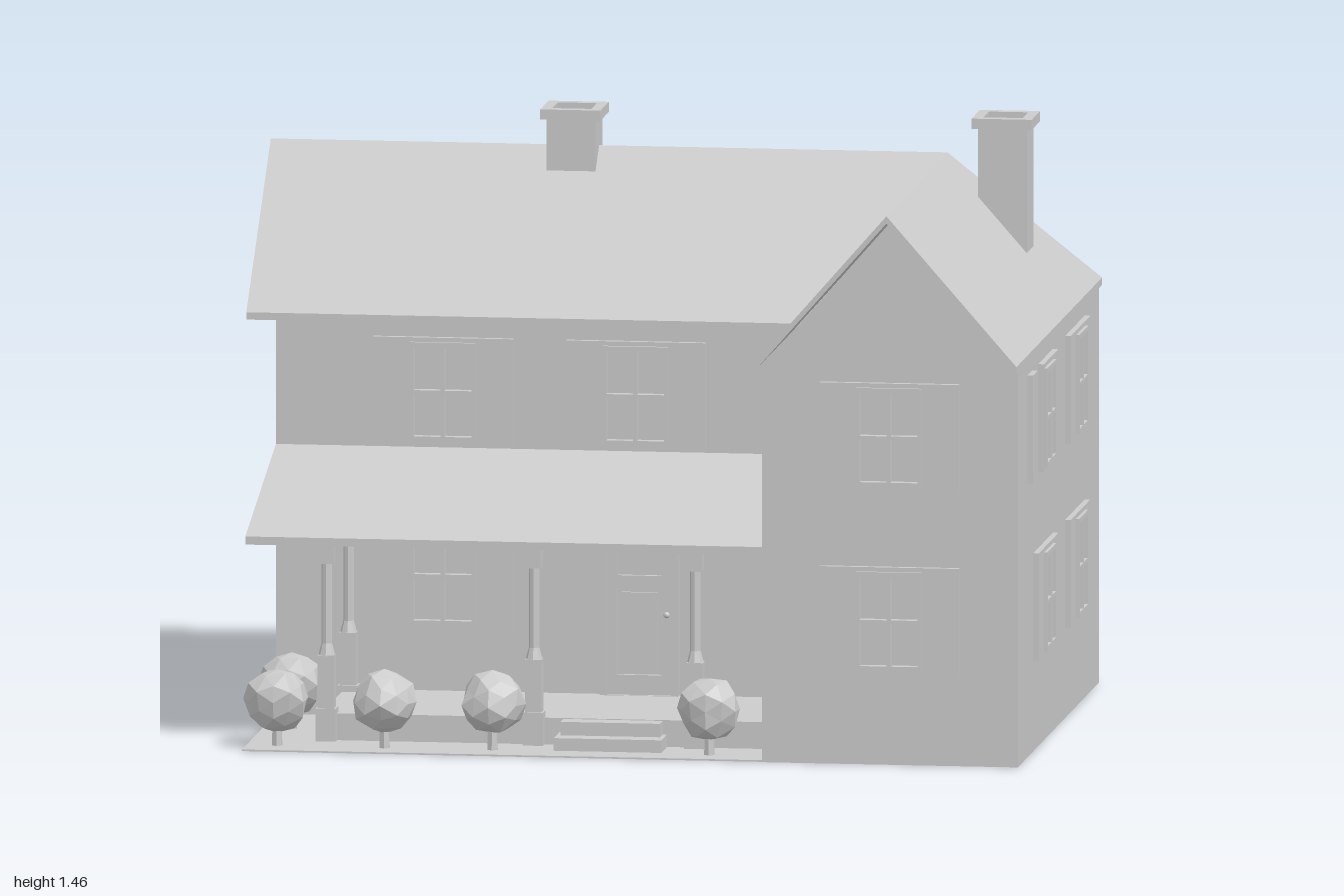
import * as THREE from 'three';

const mat = new THREE.MeshStandardMaterial({ color: 0xcccccc, flatShading: true });
const thin = new THREE.MeshStandardMaterial({ color: 0xcccccc, flatShading: true, side: THREE.DoubleSide });

function add(parent, name, geo, x = 0, y = 0, z = 0, m = mat) {
  const mesh = new THREE.Mesh(geo, m);
  mesh.name = name;
  mesh.position.set(x, y, z);
  parent.add(mesh);
  return mesh;
}

// box given by its minimum and maximum on each axis
function box(parent, name, x0, x1, y0, y1, z0, z1) {
  return add(parent, name, new THREE.BoxGeometry(x1 - x0, y1 - y0, z1 - z0),
    (x0 + x1) / 2, (y0 + y1) / 2, (z0 + z1) / 2);
}

const polygon = pts => new THREE.Shape(pts.map(p => new THREE.Vector2(...p)));
const rect = (x0, x1, y0, y1) => polygon([[x0, y0], [x1, y0], [x1, y1], [x0, y1]]);
const extrude = (shape, depth) => new THREE.ExtrudeGeometry(shape, { depth, bevelEnabled: false });
// profile drawn as (z, y), swept from x0 to x1
const sweepX = (pts, x0, x1) => extrude(polygon(pts), x1 - x0).rotateY(-Math.PI / 2).translate(x1, 0, 0);

// sloping slab: a convex outline, counter-clockwise from above, thickened downwards
function slab(parent, name, pts, t) {
  const top = pts.map(p => new THREE.Vector3(...p));
  const low = top.map(p => p.clone().setY(p.y - t));
  const tris = [];
  const n = top.length;
  for (let i = 1; i < n - 1; i++) {
    tris.push(top[0], top[i], top[i + 1], low[0], low[i + 1], low[i]);
  }
  for (let i = 0; i < n; i++) {
    const j = (i + 1) % n;
    tris.push(top[i], low[i], low[j], top[i], low[j], top[j]);
  }
  const geo = new THREE.BufferGeometry().setFromPoints(tris);
  geo.computeVertexNormals();
  add(parent, name, geo, 0, 0, 0, thin);
}

// window with four recessed panes between two shutters, facing +z
function makeWindow(leftEnd = -0.172) {
  const g = new THREE.Group();
  g.name = 'window';
  const hole = (shape, ...r) => shape.holes.push(rect(...r));
  const cells = [];
  for (const x of [-0.038, 0.038]) {
    for (const y of [-0.057, 0.057]) cells.push([x - 0.033, x + 0.033, y - 0.053, y + 0.053]);
  }
  const plate = rect(leftEnd, 0.172, -0.133, 0.133);
  const frame = rect(-0.08, 0.08, -0.122, 0.122);
  for (const c of cells) {
    hole(plate, ...c);
    hole(frame, ...c);
  }
  add(g, 'shutters', extrude(plate, 0.014));
  add(g, 'windowFrame', extrude(frame, 0.022));
  return g;
}

function makeChimney(x, z, bottom) {
  const g = new THREE.Group();
  g.name = 'chimney';
  const tube = (name, outer, y0, y1) => {
    const s = rect(-outer, outer, -outer, outer);
    s.holes.push(rect(-0.048, 0.048, -0.048, 0.048));
    add(g, name, extrude(s, y1 - y0).rotateX(-Math.PI / 2), 0, y0, 0);
  };
  tube('chimneyStack', 0.06, bottom, 1.435);
  tube('chimneyCap', 0.074, 1.432, 1.457);
  box(g, 'flueFloor', -0.05, 0.05, bottom, 1.39, -0.05, 0.05);
  g.position.set(x, 0, z);
  return g;
}

// faceted round bush on a short trunk
function makeBush(x, z, seed) {
  const g = new THREE.Group();
  g.name = 'bush';
  const geo = new THREE.IcosahedronGeometry(0.081, 1);
  const p = geo.attributes.position;
  const v = new THREE.Vector3();
  for (let i = 0; i < p.count; i++) {
    v.fromBufferAttribute(p, i);
    const w = Math.sin(Math.round(v.x * 1e3) * 1.3 + Math.round(v.y * 1e3) * 2.7 + Math.round(v.z * 1e3) * 4.1 + seed);
    v.multiplyScalar(0.96 + 0.07 * w);
    p.setXYZ(i, v.x, v.y, v.z);
  }
  geo.computeVertexNormals();
  add(g, 'foliage', geo, 0, 0.118, 0);
  add(g, 'trunk', new THREE.CylinderGeometry(0.012, 0.014, 0.06, 6), 0, 0.03, 0);
  g.position.set(x, 0, z);
  return g;
}

export function createModel() {
  const house = new THREE.Group();
  house.name = 'house';

  // walls: gabled main block, gabled front wing and the corner between them
  add(house, 'mainWalls', sweepX(
    [[-0.73, 0], [0.09, 0], [0.09, 0.985], [-0.32, 1.335], [-0.73, 0.985]], -0.93, 0.665));
  add(house, 'wingWalls', extrude(polygon(
    [[0.35, 0], [0.98, 0], [0.98, 0.975], [0.665, 1.335], [0.35, 0.975]]), 1.01), 0, 0, -0.32);
  box(house, 'cornerWalls', 0.6, 0.98, 0, 0.978, -0.73, -0.3);

  // roof: two ridges meeting in a valley at the front and a hip at the back
  const e = 0.995, r = 1.36, t = 0.018;
  slab(house, 'mainRoofFront', [[-1, e, 0.11], [0.345, e, 0.11], [0.665, r, -0.32], [-1, r, -0.32]], t);
  slab(house, 'mainRoofBack', [[0.985, e, -0.75], [-1, e, -0.75], [-1, r, -0.32], [0.665, r, -0.32]], t);
  slab(house, 'wingRoofLeft', [[0.985, e, 0.75], [0.985, e, -0.75], [0.665, r, -0.32], [0.665, r, 0.75]], t);
  slab(house, 'wingRoofRight', [[0.345, e, 0.11], [0.345, e, 0.75], [0.665, r, 0.75], [0.665, r, -0.32]], t);

  house.add(makeChimney(-0.252, -0.315, 1.305), makeChimney(0.81, -0.31, 1.125));

  // windows on each side: position across the wall and height of the centre
  const low = 0.355, high = 0.808;
  const place = (x, y, z, turn, leftEnd) => {
    const w = makeWindow(leftEnd);
    w.position.set(x, y, z);
    w.rotation.y = turn;
    house.add(w);
  };
  for (const y of [low, high]) {
    place(-0.517, y, 0.09, 0);
    place(0.665, y, 0.69, 0);
    for (const x of [-0.52, 0.025, 0.57]) place(x, y, -0.73, Math.PI);
    place(-0.93, y, -0.31, -Math.PI / 2);
    place(0.98, y, -0.31, Math.PI / 2);
  }
  place(-0.043, high, 0.09, 0);
  place(0.98, low, 0.248, Math.PI / 2);
  place(0.98, high, 0.248, Math.PI / 2, -0.086);
  box(house, 'singleShutter', 0.97, 0.994, high - 0.133, high + 0.133, 0.437, 0.522);

  // porch
  const porch = new THREE.Group();
  porch.name = 'porch';
  house.add(porch);
  box(porch, 'frontYard', -0.93, 0.36, 0, 0.004, 0.05, 0.685);
  box(porch, 'porchFloor', -0.76, 0.36, 0, 0.07, 0.05, 0.5);
  box(porch, 'lowerStep', -0.175, 0.09, 0, 0.035, 0.45, 0.6);
  box(porch, 'upperStep', -0.165, 0.08, 0, 0.068, 0.45, 0.55);
  add(porch, 'porchRoof', sweepX(
    [[0.08, 0.65], [0.625, 0.5], [0.625, 0.52], [0.08, 0.672]], -0.93, 0.355));

  // posts with square bases and tops and a slimmer eight-sided shaft
  for (const [x, z, bottom, top] of [[-0.747, 0.5, 0, 0.535], [-0.237, 0.5, 0, 0.535],
    [0.16, 0.5, 0, 0.535], [-0.747, 0.12, 0.07, 0.64]]) {
    const post = new THREE.Group();
    post.name = 'porchPost';
    porch.add(post);
    box(post, 'postFoot', x - 0.025, x + 0.025, bottom, 0.085, z - 0.025, z + 0.025);
    box(post, 'postBase', x - 0.02, x + 0.02, 0.08, 0.215, z - 0.02, z + 0.02);
    add(post, 'postTaper', new THREE.CylinderGeometry(0.013, 0.021, 0.03, 8), x, 0.228, z);
    add(post, 'postShaft', new THREE.CylinderGeometry(0.013, 0.013, 0.22, 8), x, 0.34, z);
    box(post, 'postTop', x - 0.019, x + 0.019, 0.44, top, z - 0.019, z + 0.019);
  }

  // front door: frame, leaf with two recessed panels, knob
  const door = new THREE.Group();
  door.name = 'frontDoor';
  house.add(door);
  const frame = rect(-0.13, 0.063, 0.07, 0.49);
  frame.holes.push(rect(-0.113, 0.045, 0.071, 0.468));
  add(door, 'doorFrame', extrude(frame, 0.022), 0, 0, 0.09);
  const leaf = rect(-0.113, 0.045, 0.071, 0.468);
  leaf.holes.push(rect(-0.09, 0.022, 0.12, 0.335), rect(-0.088, 0.02, 0.365, 0.452));
  add(door, 'doorLeaf', extrude(leaf, 0.012), 0, 0, 0.09);
  box(door, 'lowerPanel', -0.078, 0.01, 0.132, 0.323, 0.085, 0.098);
  add(door, 'doorKnob', new THREE.IcosahedronGeometry(0.008, 1), 0.034, 0.27, 0.108);

  [[-0.855, 0.602], [-0.59, 0.607], [-0.325, 0.602], [0.21, 0.612], [-0.858, 0.325]]
    .forEach(([x, z], i) => house.add(makeBush(x, z, i * 1.7)));

  return house;
}
